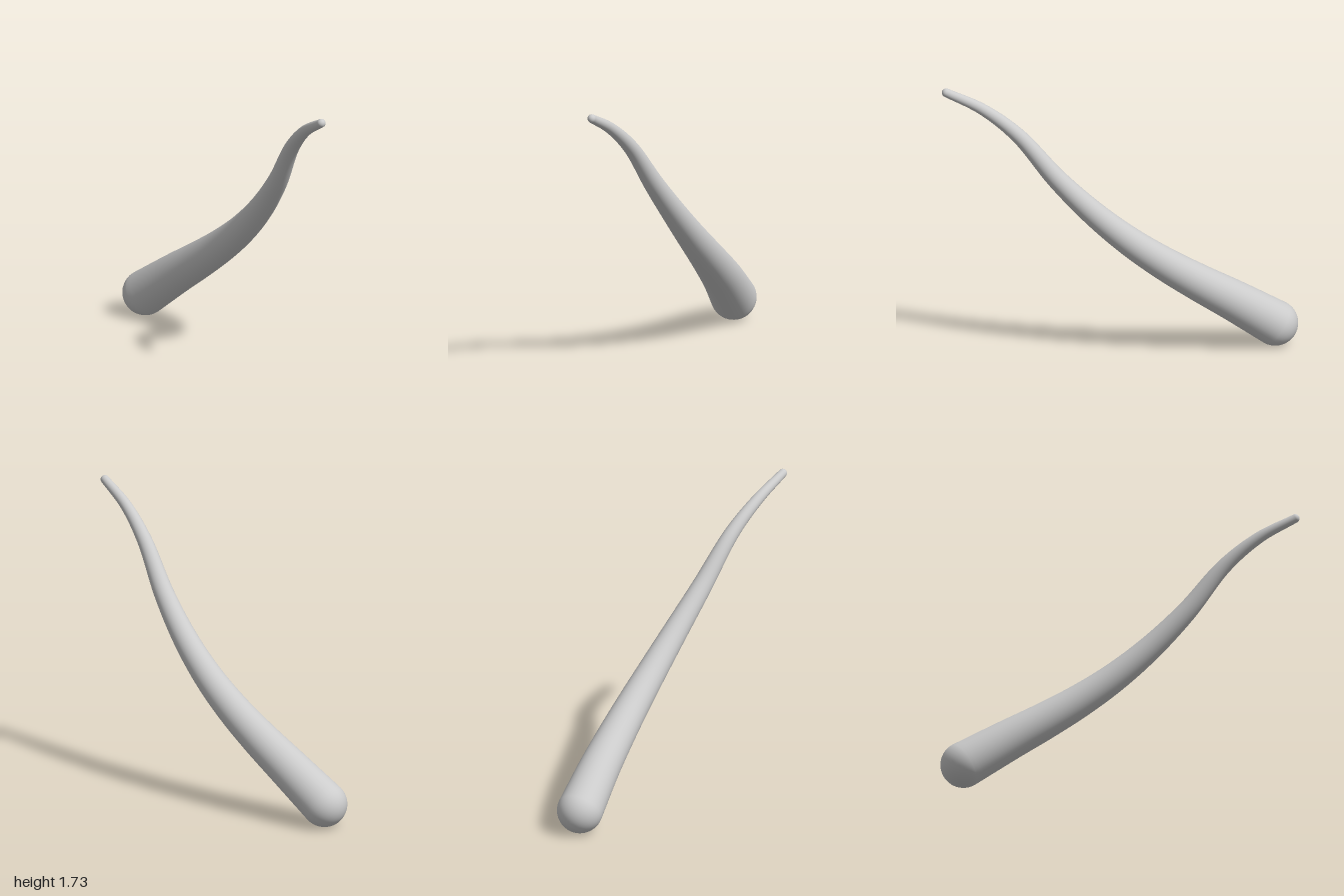
import * as THREE from 'three';

const SIDES = 48, STEPS = 80, CAP = 12;

// radius along the length, thick base to thin tip
const radiusAt = (u) => 0.137 - 0.117 * u + 0.006 * u ** 6;

// tapered tube with domed ends, swept along a curve
function taperedTube(curve) {
  const { tangents, normals, binormals } = curve.computeFrenetFrames(STEPS, false);
  const rings = []; // [frame index, offset along the tangent, radius]
  const r0 = radiusAt(0), r1 = radiusAt(1);
  for (let k = 0; k < CAP; k++) {
    const a = (k / CAP) * Math.PI / 2;
    rings.push([0, -r0 * Math.cos(a), r0 * Math.sin(a)]);
  }
  for (let i = 0; i <= STEPS; i++) rings.push([i, 0, radiusAt(i / STEPS)]);
  for (let k = 1; k <= CAP; k++) {
    const a = (k / CAP) * Math.PI / 2;
    rings.push([STEPS, r1 * Math.sin(a), r1 * Math.cos(a)]);
  }

  const positions = [], index = [];
  rings.forEach(([f, offset, r], i) => {
    const centre = curve.getPointAt(f / STEPS).addScaledVector(tangents[f], offset);
    for (let j = 0; j < SIDES; j++) {
      const a = (j / SIDES) * Math.PI * 2;
      const p = centre.clone()
        .addScaledVector(normals[f], r * Math.cos(a))
        .addScaledVector(binormals[f], r * Math.sin(a));
      positions.push(p.x, p.y, p.z);
      if (i < rings.length - 1) {
        const n = (j + 1) % SIDES;
        const A = i * SIDES + j, B = i * SIDES + n, C = B + SIDES, D = A + SIDES;
        if (i > 0) index.push(A, B, C);
        else index.push(A, C, D);
        if (i > 0 && i < rings.length - 2) index.push(A, C, D);
      }
    }
  });
  const geometry = new THREE.BufferGeometry();
  geometry.setAttribute('position', new THREE.Float32BufferAttribute(positions, 3));
  geometry.setIndex(index);
  geometry.computeVertexNormals();
  // the pole rings collapse to points, so give them the end direction
  const normal = geometry.attributes.normal, last = (rings.length - 1) * SIDES;
  const t0 = tangents[0], t1 = tangents[STEPS];
  for (let j = 0; j < SIDES; j++) {
    normal.setXYZ(j, -t0.x, -t0.y, -t0.z);
    normal.setXYZ(last + j, t1.x, t1.y, t1.z);
  }
  return geometry;
}

export function createModel() {
  const group = new THREE.Group();
  group.name = 'curvedTaperedRod';

  // gently S-shaped centre line, base to tip
  const path = new THREE.CatmullRomCurve3([
    [-0.867, 0.138, -0.304],
    [-0.6, 0.32, -0.262],
    [-0.4, 0.45, -0.223],
    [-0.2, 0.587, -0.175],
    [0, 0.742, -0.112],
    [0.2, 0.928, -0.03],
    [0.4, 1.155, 0.075],
    [0.6, 1.432, 0.2],
    [0.78, 1.595, 0.307],
    [0.973, 1.704, 0.405],
  ].map((p) => new THREE.Vector3(...p)));

  const rod = new THREE.Mesh(
    taperedTube(path),
    new THREE.MeshStandardMaterial({ color: 0xcccccc })
  );
  rod.name = 'taperedRod';
  group.add(rod);
  return group;
}
